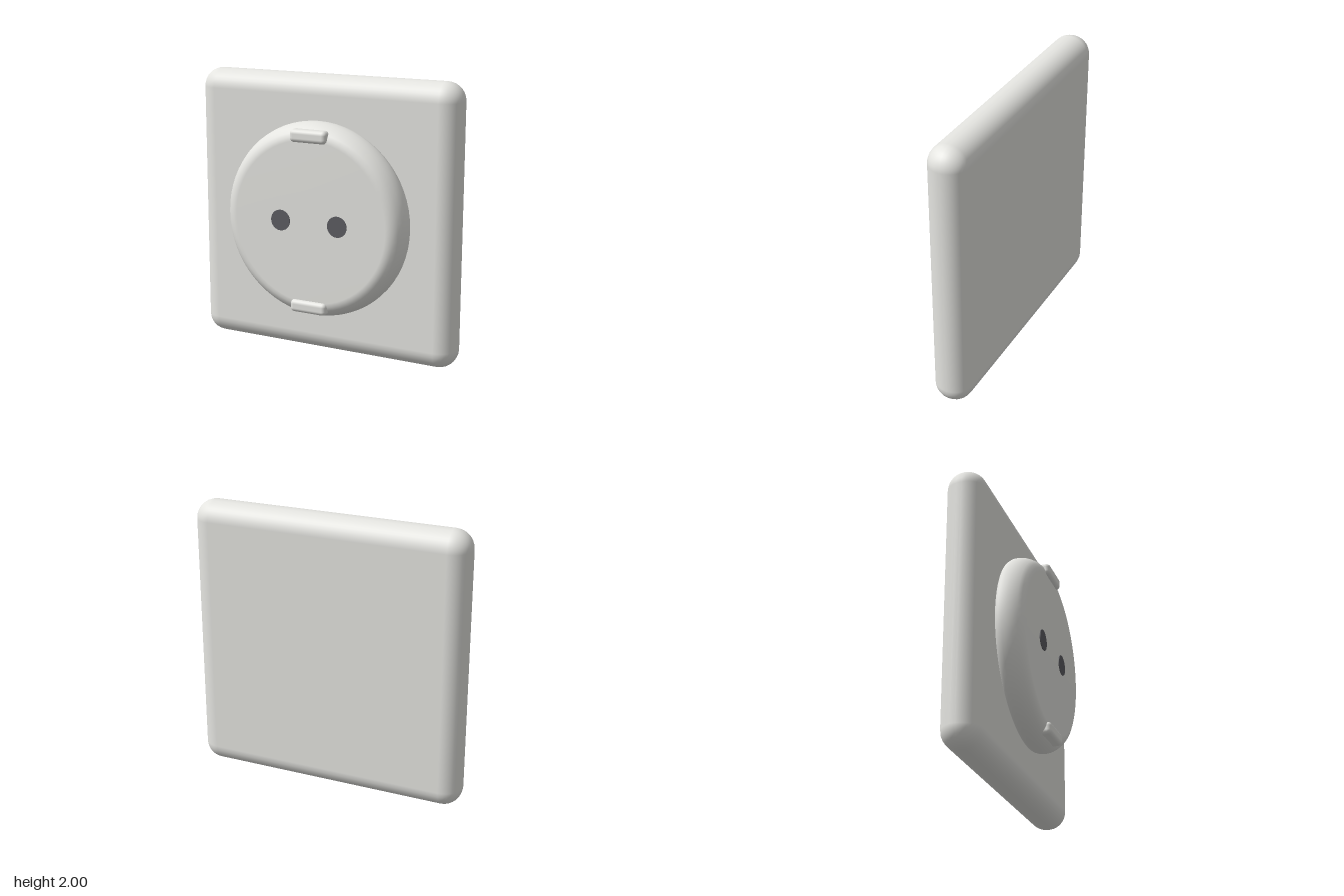
import * as THREE from 'three';
import { RoundedBoxGeometry } from 'three/addons/geometries/RoundedBoxGeometry.js';

export function createModel() {
  const group = new THREE.Group();
  const plastic = new THREE.MeshStandardMaterial({ color: 0xe4e4e0 });
  plastic.name = 'off-white plastic';
  const dark = new THREE.MeshStandardMaterial({ color: 0x5c5c61 });
  dark.name = 'dark grey';

  const add = (name, geometry, material, x, y, z) => {
    const mesh = new THREE.Mesh(geometry, material);
    mesh.name = name;
    mesh.position.set(x, y, z);
    group.add(mesh);
  };

  // Wall plate with fully rounded rim
  add('wallPlate', new RoundedBoxGeometry(2, 2, 0.275, 4, 0.135), plastic, 0, 1, -0.105);

  // Round socket insert, turned about the z axis
  const profile = [
    [0, 0.02], [0.675, 0.02], [0.685, 0.036], [0.693, 0.055], [0.695, 0.08], [0.69, 0.115],
    [0.677, 0.147], [0.658, 0.177], [0.635, 0.198], [0.608, 0.211], [0.58, 0.215], [0, 0.215],
  ].map(([r, h]) => new THREE.Vector2(r, h));
  add('socketInsert', new THREE.LatheGeometry(profile, 64).rotateX(Math.PI / 2), plastic, 0, 1, 0);

  // Earth clips at the top and bottom, contact holes left and right
  for (const side of [-1, 1]) {
    add(side > 0 ? 'topClip' : 'bottomClip',
      new RoundedBoxGeometry(0.28, 0.09, 0.09, 3, 0.03), plastic, 0, 1 + side * 0.607, 0.197);
    add(side > 0 ? 'leftContactHole' : 'rightContactHole',
      new THREE.CylinderGeometry(0.074, 0.074, 0.009, 32).rotateX(Math.PI / 2), dark, side * 0.22, 1, 0.216);
  }

  return group;
}
